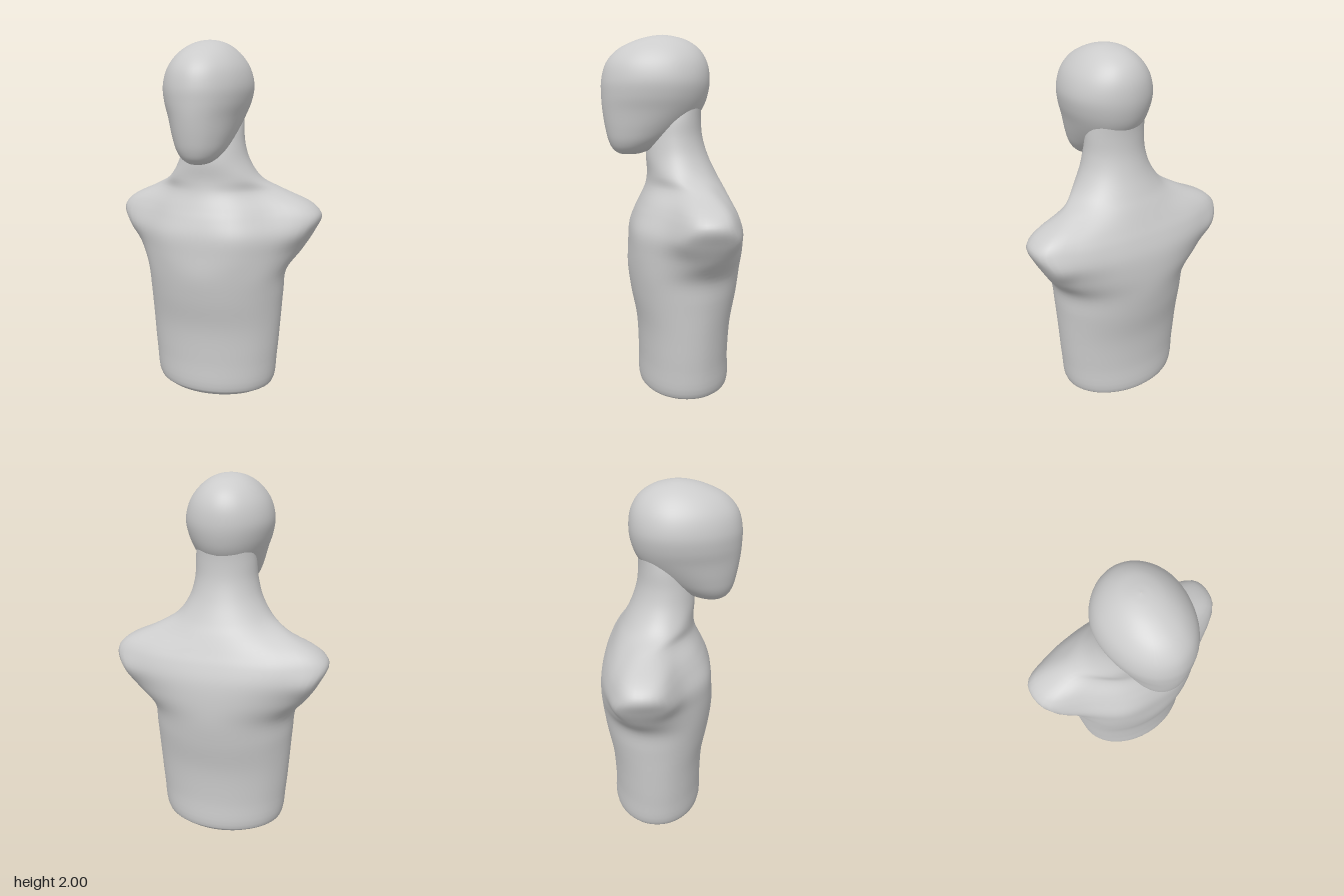
import * as THREE from 'three';

const SEG = 64;
const material = new THREE.MeshStandardMaterial({ color: 0xcccccc });

// Half outline of a horizontal section, from front (z max) to back (z min)
function oval(y, w, front, back, side = (front + back) / 2) {
  const half = [];
  for (let i = 0; i <= 7; i++) {
    const a = (i / 7) * Math.PI, c = Math.cos(a);
    half.push([w * Math.sin(a), side + c * (c > 0 ? front - side : side - back)]);
  }
  return { y, half };
}

// Mirror a half outline and sample it as a smooth closed ring
function sampleRing({ y, half }) {
  const right = half.slice(1, -1).reverse().map(([x, z]) => [-x, z]);
  const points = [...half, ...right].map(([x, z]) => new THREE.Vector3(x, y, z));
  const curve = new THREE.CatmullRomCurve3(points, true);
  return Array.from({ length: SEG }, (_, j) => curve.getPoint(j / SEG));
}

// Smooth skin through a stack of rings
function loft(sections, steps) {
  const rings = sections.map(sampleRing);
  const rows = (rings.length - 1) * steps;
  const columns = [];
  for (let j = 0; j < SEG; j++) {
    columns.push(new THREE.CatmullRomCurve3(rings.map((r) => r[j])));
  }
  const pos = [], index = [];
  for (let i = 0; i <= rows; i++) {
    for (let j = 0; j < SEG; j++) {
      const p = columns[j].getPoint(i / rows);
      pos.push(p.x, p.y, p.z);
      if (i < rows) {
        const k = (j + 1) % SEG;
        const a = i * SEG + j, b = i * SEG + k;
        index.push(a, b, b + SEG, a, b + SEG, a + SEG);
      }
    }
  }
  const geo = new THREE.BufferGeometry();
  geo.setAttribute('position', new THREE.Float32BufferAttribute(pos, 3));
  geo.setIndex(index);
  geo.computeVertexNormals();
  return geo;
}

export function createModel() {
  const group = new THREE.Group();
  const add = (name, geo) => {
    const mesh = new THREE.Mesh(geo, material);
    mesh.name = name;
    group.add(mesh);
  };

  // Torso, cut-off shoulders and neck in one skin
  const base = oval(0, 0.3, 0.165, -0.295);
  const torso = [
    base,
    oval(0.03, 0.347, 0.19, -0.322),
    oval(0.2, 0.372, 0.195, -0.323),
    oval(0.4, 0.388, 0.205, -0.335),
    oval(0.58, 0.4, 0.238, -0.368),
    oval(0.72, 0.415, 0.255, -0.386),
    { y: 0.84, half: [[0, 0.25], [0.2, 0.222], [0.36, 0.11], [0.48, -0.05], [0.485, -0.2], [0.4, -0.285], [0.21, -0.365], [0, -0.388]] },
    { y: 0.95, half: [[0, 0.24], [0.2, 0.217], [0.38, 0.1], [0.535, -0.015], [0.54, -0.255], [0.4, -0.32], [0.2, -0.365], [0, -0.376]] },
    { y: 1.04, half: [[0, 0.212], [0.18, 0.185], [0.36, 0.075], [0.575, -0.045], [0.58, -0.215], [0.4, -0.3], [0.2, -0.338], [0, -0.347]] },
    { y: 1.1, half: [[0, 0.186], [0.17, 0.155], [0.34, 0.05], [0.53, -0.055], [0.535, -0.2], [0.38, -0.27], [0.18, -0.31], [0, -0.32]] },
    { y: 1.185, half: [[0, 0.15], [0.13, 0.122], [0.25, 0.04], [0.365, -0.07], [0.37, -0.15], [0.27, -0.215], [0.14, -0.265], [0, -0.28]] },
    oval(1.25, 0.268, 0.14, -0.246),
    oval(1.35, 0.203, 0.145, -0.2),
    oval(1.45, 0.176, 0.13, -0.17),
    oval(1.55, 0.168, 0.1, -0.161),
    oval(1.65, 0.155, 0.05, -0.165),
  ];
  add('torso', loft(torso, 5));

  // Flat underside
  const outline = new THREE.Shape(sampleRing(base).map((p) => new THREE.Vector2(p.x, p.z)));
  add('base', new THREE.ShapeGeometry(outline).rotateX(Math.PI / 2));

  // Featureless egg-shaped head, chin to crown
  const head = [
    oval(1.355, 0.001, 0.251, 0.249),
    oval(1.36, 0.05, 0.295, 0.18),
    oval(1.385, 0.093, 0.33, 0.11),
    oval(1.43, 0.13, 0.353, 0.03),
    oval(1.5, 0.163, 0.37, -0.08),
    oval(1.6, 0.2, 0.385, -0.167, 0.08),
    oval(1.68, 0.228, 0.39, -0.198, 0.06),
    oval(1.76, 0.239, 0.388, -0.208, 0.05),
    oval(1.85, 0.217, 0.362, -0.195, 0.05),
    oval(1.92, 0.17, 0.3, -0.155, 0.05),
    oval(1.97, 0.11, 0.2, -0.085, 0.05),
    oval(1.993, 0.053, 0.115, -0.005, 0.05),
    oval(2, 0.001, 0.051, 0.049),
  ];
  add('head', loft(head, 5));

  return group;
}
